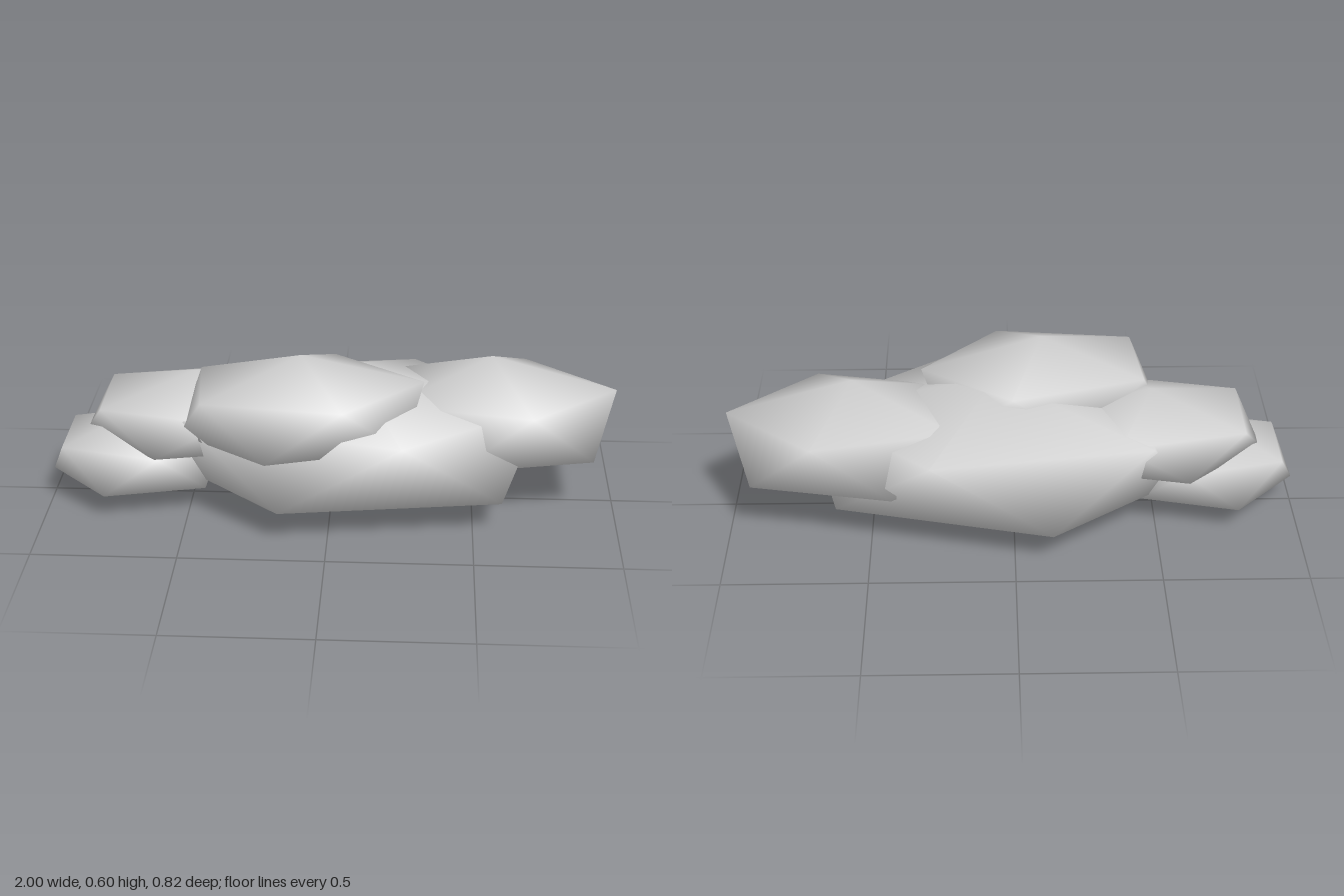
import * as THREE from 'three';

// Twelve-point smooth puff: two poles and two staggered rings of five
function puffGeometry(rx, rz, yTop, yUpper, yLower, yBottom) {
  const points = [0, yTop, 0, 0, yBottom, 0];
  for (let i = 0; i < 10; i++) {
    const a = (i * Math.PI) / 5;
    points.push(rx * Math.cos(a), i % 2 ? yLower : yUpper, rz * Math.sin(a));
  }
  const faces = [];
  const upper = (i) => 2 + (2 * i) % 10;
  const lower = (i) => 2 + (2 * i + 1) % 10;
  for (let i = 0; i < 5; i++) {
    faces.push(0, upper(i + 1), upper(i));
    faces.push(upper(i), upper(i + 1), lower(i));
    faces.push(lower(i), upper(i + 1), lower(i + 1));
    faces.push(1, lower(i), lower(i + 1));
  }
  const geometry = new THREE.BufferGeometry();
  geometry.setAttribute('position', new THREE.Float32BufferAttribute(points, 3));
  geometry.setIndex(faces);
  geometry.computeVertexNormals();
  return geometry;
}

export function createModel() {
  const cloud = new THREE.Group();
  cloud.name = 'cloud';
  const cloudGrey = new THREE.MeshStandardMaterial({ color: 0xcccccc });
  cloudGrey.name = 'cloudGrey';

  // x, z, ring radii, heights from top pole to bottom pole, turn about y
  const puffs = [
    { name: 'mainPuff', x: 0.06, z: 0, rx: 0.68, rz: 0.415, y: [0.515, 0.374, 0.115, 0], turn: -0.05 },
    { name: 'topFrontPuff', x: -0.1, z: 0.14, rx: 0.425, rz: 0.275, y: [0.6, 0.493, 0.31, 0.2], turn: 0.09 },
    { name: 'leftPuff', x: 0.56, z: -0.045, rx: 0.44, rz: 0.285, y: [0.533, 0.411, 0.208, 0.095], turn: 0.01 },
    { name: 'rightUpperPuff', x: -0.48, z: -0.015, rx: 0.395, rz: 0.27, y: [0.472, 0.38, 0.24, 0.15], turn: 0 },
    { name: 'rightLowerPuff', x: -0.69, z: 0.012, rx: 0.31, rz: 0.235, y: [0.33, 0.235, 0.09, 0.02], turn: 0 },
  ];
  for (const p of puffs) {
    const puff = new THREE.Mesh(puffGeometry(p.rx, p.rz, ...p.y), cloudGrey);
    puff.name = p.name;
    puff.position.set(p.x, 0, p.z);
    puff.rotation.y = p.turn;
    cloud.add(puff);
  }
  return cloud;
}
